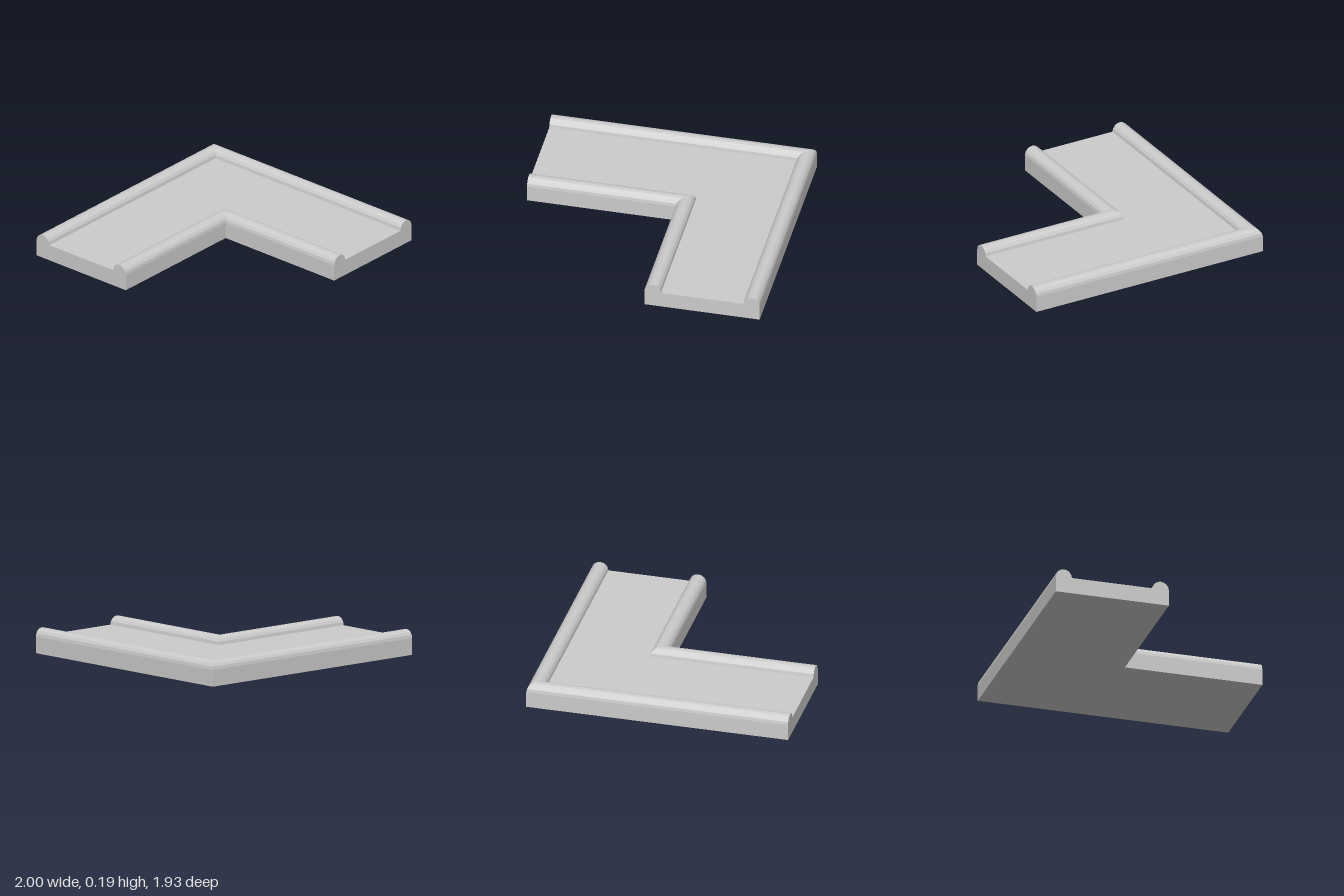
import * as THREE from 'three';

const HALF_X = 1, HALF_Z = 0.967;     // footprint
const WIDTH = 0.873;                  // width of each arm
const R = 0.0625, FLOOR = 0.125;      // rail radius, floor height
const ARC_STEPS = 8;

// Cross-section: u runs inward from the outer edge, v is height.
function channelProfile() {
  const points = [new THREE.Vector2(WIDTH, 0)];
  for (const centre of [WIDTH - R, R]) {
    for (let i = 0; i <= ARC_STEPS; i++) {
      const a = (i / ARC_STEPS) * Math.PI;
      points.push(new THREE.Vector2(centre + R * Math.cos(a), FLOOR + R * Math.sin(a)));
    }
  }
  points.push(new THREE.Vector2(0, 0));
  return points;
}

// Sweeps the profile round a mitred right-angle corner and caps both ends.
function corneredSweep(profile) {
  const sections = [
    p => [-HALF_X, p.y, -HALF_Z + p.x],
    p => [HALF_X - p.x, p.y, -HALF_Z + p.x],
    p => [HALF_X - p.x, p.y, HALF_Z],
  ];
  const n = profile.length, positions = [], indices = [];
  for (const place of sections) for (const p of profile) positions.push(...place(p));

  for (let s = 0; s < sections.length - 1; s++) {
    for (let i = 0; i < n; i++) {
      const a = s * n + i, b = s * n + (i + 1) % n;
      indices.push(a, a + n, b, b, a + n, b + n);
    }
  }
  // End caps
  const last = (sections.length - 1) * n;
  for (const [a, b, c] of THREE.ShapeUtils.triangulateShape(profile, [])) {
    indices.push(a, b, c, last + a, last + c, last + b);
  }

  const indexed = new THREE.BufferGeometry();
  indexed.setAttribute('position', new THREE.Float32BufferAttribute(positions, 3));
  indexed.setIndex(indices);
  const geometry = indexed.toNonIndexed();
  geometry.computeVertexNormals();
  return geometry;
}

export function createModel() {
  const group = new THREE.Group();
  group.name = 'cornerTrack';
  const material = new THREE.MeshStandardMaterial({ color: 0xcccccc, flatShading: true });
  // Floor and both rounded side rails in one solid
  const track = new THREE.Mesh(corneredSweep(channelProfile()), material);
  track.name = 'railedFloor';
  group.add(track);
  return group;
}
